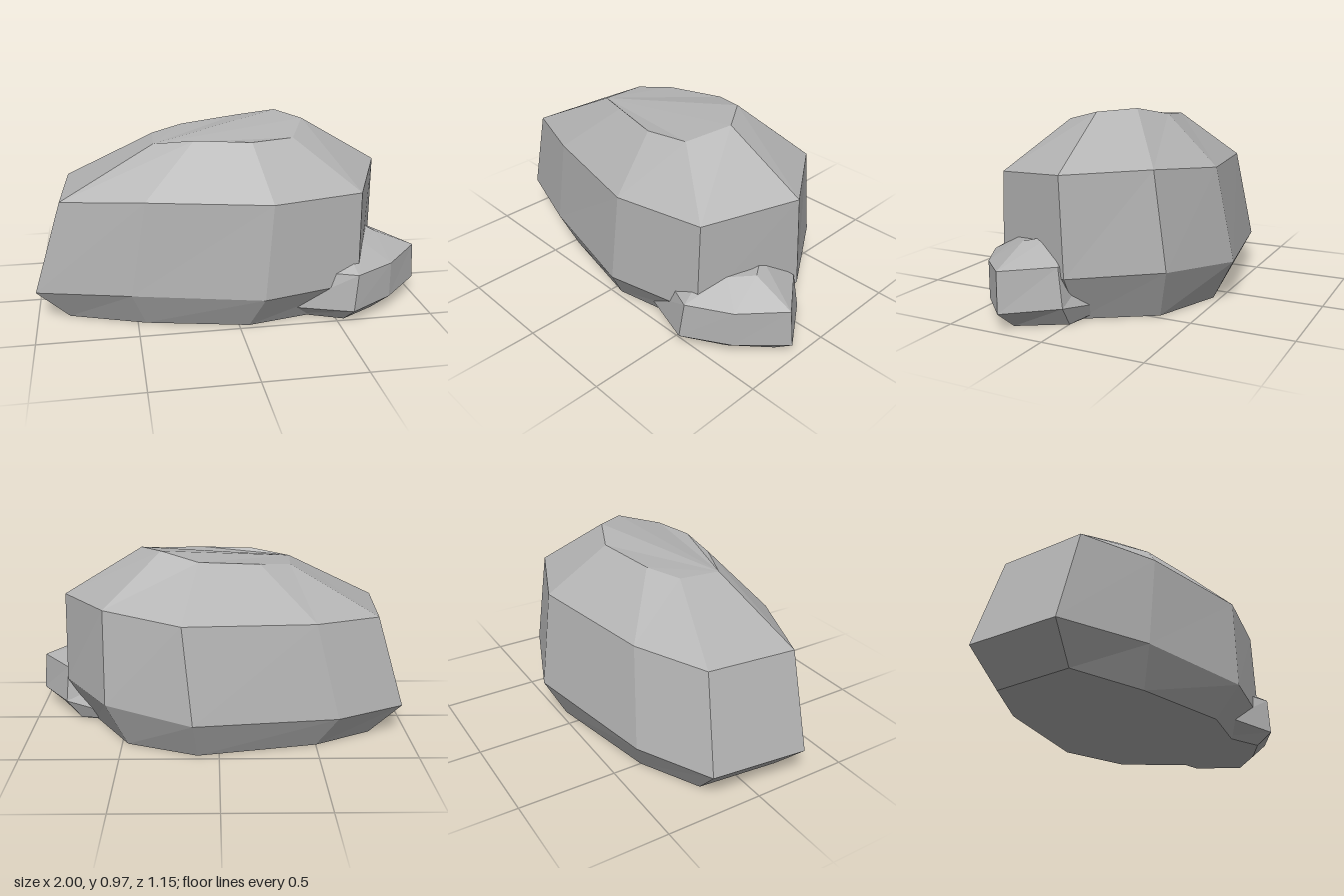
import * as THREE from 'three';

const stone = new THREE.MeshStandardMaterial({ color: 0xb2b2b2, flatShading: true });
stone.name = 'stone grey';

// Joins stacked rings of [x, y, z] corners (clockwise seen from above) and closes both ends.
function rock(name, rings) {
  const n = rings[0].length;
  const index = [];
  for (let r = 0; r < rings.length - 1; r++) {
    for (let i = 0; i < n; i++) {
      const j = (i + 1) % n;
      const a = r * n + i, b = r * n + j, c = a + n, d = b + n;
      index.push(a, c, b, b, c, d);
    }
  }
  const top = (rings.length - 1) * n;
  for (let i = 1; i < n - 1; i++) {
    index.push(0, i, i + 1);
    index.push(top, top + i + 1, top + i);
  }
  const indexed = new THREE.BufferGeometry();
  indexed.setAttribute('position', new THREE.Float32BufferAttribute(rings.flat(2), 3));
  indexed.setIndex(index);
  const geometry = indexed.toNonIndexed();
  geometry.computeVertexNormals();
  const mesh = new THREE.Mesh(geometry, stone);
  mesh.name = name;
  return mesh;
}

export function createModel() {
  const group = new THREE.Group();
  group.name = 'rocks';

  // Large boulder: foot, widest ring, shoulder, crown
  group.add(rock('boulder', [
    [[-0.84, 0, 0.22], [-0.8, 0, -0.2], [-0.5, 0, -0.35], [0.11, 0, -0.465], [0.47, 0, -0.33],
      [0.68, 0, 0], [0.5, 0, 0.38], [0.05, 0, 0.47], [-0.46, 0, 0.36]],
    [[-1, 0.16, 0.26], [-0.96, 0.17, -0.24], [-0.6, 0.18, -0.43], [0.13, 0.21, -0.575], [0.57, 0.25, -0.405],
      [0.82, 0.235, -0.01], [0.61, 0.19, 0.47], [0.11, 0.18, 0.575], [-0.53, 0.185, 0.43]],
    [[-0.855, 0.635, 0.27], [-0.82, 0.64, -0.19], [-0.48, 0.66, -0.37], [0.18, 0.69, -0.495], [0.57, 0.725, -0.34],
      [0.81, 0.71, 0.015], [0.61, 0.665, 0.455], [0.15, 0.658, 0.55], [-0.45, 0.66, 0.42]],
    [[-0.385, 0.88, 0.165], [-0.37, 0.885, -0.05], [-0.21, 0.905, -0.14], [0.1, 0.93, -0.2], [0.29, 0.97, -0.12],
      [0.4, 0.955, 0.045], [0.305, 0.905, 0.25], [0.09, 0.9, 0.295], [-0.19, 0.905, 0.235]],
  ]));

  // Small stone pushed into the boulder's front left side
  group.add(rock('smallStone', [
    [[0.5, 0, -0.06], [0.76, 0, 0], [0.89, 0, 0.22], [0.72, 0, 0.375], [0.54, 0, 0.48], [0.3, 0, 0.38]],
    [[0.5, 0.06, -0.14], [0.835, 0.1, -0.01], [1, 0.09, 0.23], [0.8, 0.078, 0.42], [0.57, 0.07, 0.55], [0.25, 0.075, 0.45]],
    [[0.5, 0.28, -0.03], [0.82, 0.29, 0.02], [0.985, 0.285, 0.24], [0.8, 0.265, 0.42], [0.59, 0.26, 0.535], [0.3, 0.26, 0.42]],
    [[0.5, 0.38, 0.08], [0.7, 0.395, 0.13], [0.77, 0.375, 0.24], [0.67, 0.36, 0.335], [0.56, 0.365, 0.36], [0.45, 0.36, 0.3]],
  ]));

  return group;
}
